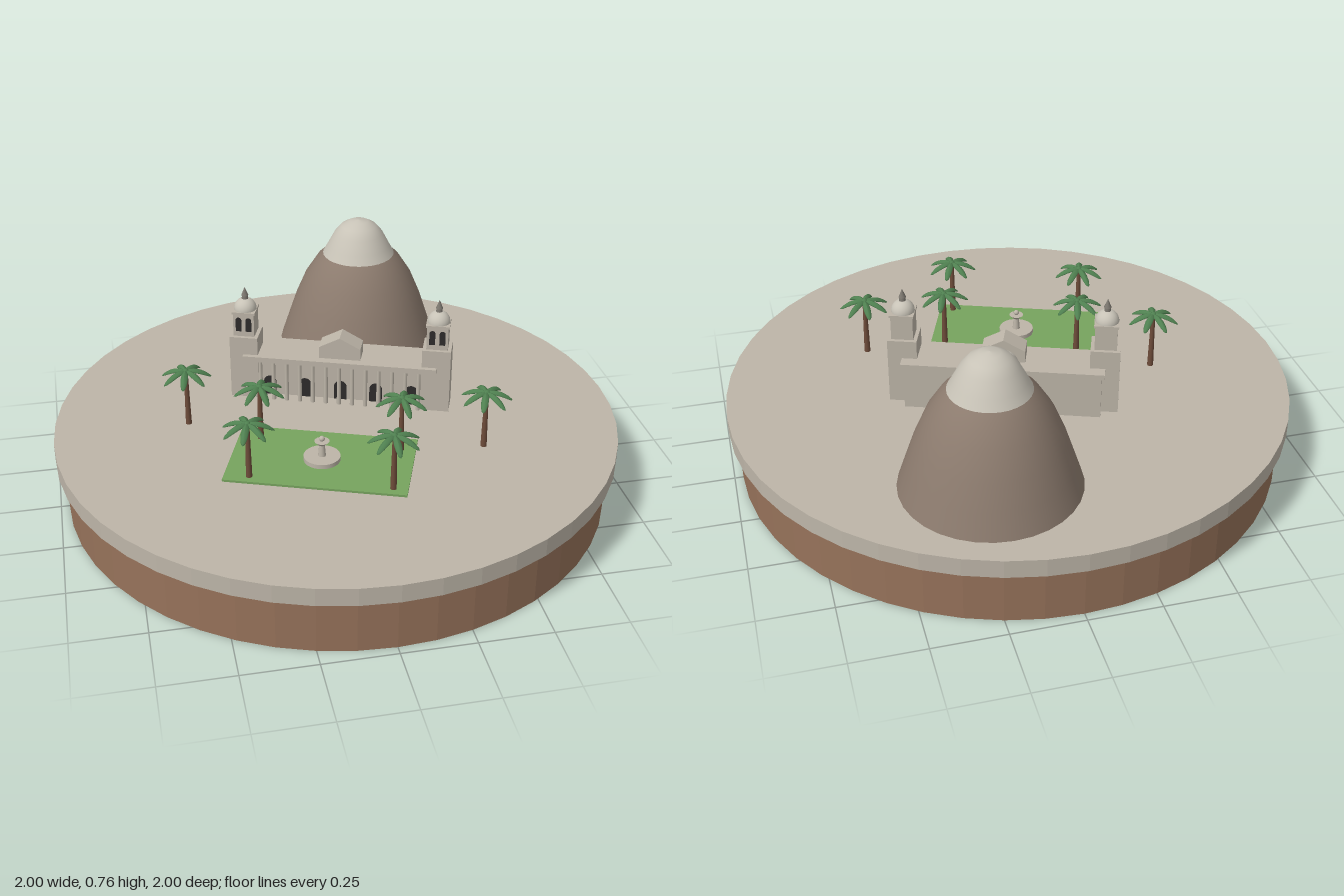
import * as THREE from 'three';

const mat = (name, color) => {
  const m = new THREE.MeshStandardMaterial({ color });
  m.name = name;
  return m;
};

export function createModel() {
  const stone = mat('paleStone', 0xbdb5a8);
  const earth = mat('earthBrown', 0x96725a);
  const rock = mat('mountainRock', 0x8c7b6e);
  const snow = mat('summitPale', 0xc8c3b7);
  const grass = mat('lawnGreen', 0x76a35e);
  const frondGreen = mat('frondGreen', 0x4f8050);
  const bark = mat('barkBrown', 0x6e4c3a);
  const dark = mat('openingDark', 0x2e2b2b);
  const spireGrey = mat('spireGrey', 0x7d7870);

  const GROUND = 0.265;
  const model = new THREE.Group();
  model.name = 'missionDiorama';

  const add = (parent, name, geo, material, x = 0, y = 0, z = 0) => {
    const mesh = new THREE.Mesh(geo, material);
    mesh.name = name;
    mesh.position.set(x, y, z);
    parent.add(mesh);
    return mesh;
  };
  const group = (parent, name, x = 0, y = 0, z = 0) => {
    const g = new THREE.Group();
    g.name = name;
    g.position.set(x, y, z);
    parent.add(g);
    return g;
  };
  // A box standing on height y
  const block = (parent, name, w, h, d, material, x, y, z) =>
    add(parent, name, new THREE.BoxGeometry(w, h, d), material, x, y + h / 2, z);
  // A cylinder with flat facets
  const facetedDisc = (r, h, sides) => {
    const g = new THREE.CylinderGeometry(r, r, h, sides).toNonIndexed();
    g.computeVertexNormals();
    return g;
  };
  const lathe = (points, sides) =>
    new THREE.LatheGeometry(points.map(([r, y]) => new THREE.Vector2(r, y)), sides);
  const dome = (r) => new THREE.SphereGeometry(r, 20, 10, 0, Math.PI * 2, 0, Math.PI / 2);
  // A thin round-topped plate for doors and windows
  const archPlate = (w, h) => {
    const s = new THREE.Shape();
    s.moveTo(-w / 2, 0);
    s.lineTo(w / 2, 0);
    s.lineTo(w / 2, h - w / 2);
    s.absarc(0, h - w / 2, w / 2, 0, Math.PI, false);
    s.closePath();
    return new THREE.ExtrudeGeometry(s, { depth: 0.004, bevelEnabled: false, curveSegments: 8 });
  };

  // Round base
  add(model, 'earthBase', facetedDisc(0.97, 0.2, 48), earth, 0, 0.1, 0);
  add(model, 'groundSlab', facetedDisc(1, GROUND - 0.2, 48), stone, 0, (GROUND + 0.2) / 2, 0);

  // Mountain with a pale summit
  const mountain = group(model, 'mountain', 0.205, 0, -0.58);
  add(mountain, 'mountainSlope', lathe([
    [0.303, GROUND], [0.275, 0.35], [0.245, 0.44], [0.205, 0.535], [0.16, 0.605], [0.128, 0.635],
  ], 32), rock);
  add(mountain, 'mountainSummit', lathe([
    [0.139, 0.622], [0.118, 0.66], [0.092, 0.71], [0.066, 0.74], [0.035, 0.757], [0, 0.762],
  ], 32), snow);

  // Everything in the mission is laid out square, then turned
  const mission = group(model, 'mission', 0.048, GROUND, -0.135);
  mission.rotation.y = -THREE.MathUtils.degToRad(20);

  block(mission, 'hall', 0.68, 0.155, 0.105, stone, 0, 0, -0.022);
  block(mission, 'hallRoof', 0.7, 0.02, 0.16, stone, 0, 0.155, 0);

  // Arcade of columns and dark doorways
  for (let i = 0; i < 13; i++) {
    const x = -0.288 + i * 0.048;
    add(mission, 'arcadeColumn', new THREE.CylinderGeometry(0.007, 0.008, 0.155, 10), stone, x, 0.0775, 0.066);
  }
  for (let i = -2; i <= 2; i++) {
    add(mission, 'doorway', archPlate(0.046, 0.075), dark, i * 0.13, 0, 0.029);
  }

  // Gabled centrepiece and the dome behind it
  const gable = new THREE.Shape();
  [[-0.075, 0], [0.075, 0], [0.075, 0.045], [0, 0.085], [-0.075, 0.045]]
    .forEach(([x, y], i) => (i ? gable.lineTo(x, y) : gable.moveTo(x, y)));
  add(mission, 'gable', new THREE.ExtrudeGeometry(gable, { depth: 0.075, bevelEnabled: false }),
    stone, 0, 0.174, -0.025);
  add(mission, 'roofDome', dome(0.054), snow, 0, 0.172, -0.042);

  // Twin bell towers
  for (const side of [-1, 1]) {
    const tower = group(mission, side < 0 ? 'rightTower' : 'leftTower', side * 0.348, 0, 0.013);
    block(tower, 'towerShaft', 0.102, 0.242, 0.102, stone, 0, 0, 0);
    block(tower, 'belfry', 0.076, 0.088, 0.076, stone, 0, 0.242, 0);
    block(tower, 'belfryCornice', 0.084, 0.009, 0.084, stone, 0, 0.328, 0);
    for (const dx of [-0.018, 0.018]) {
      add(tower, 'bellOpening', archPlate(0.021, 0.054), dark, dx, 0.262, 0.036);
    }
    add(tower, 'towerDome', dome(0.041), snow, 0, 0.337, 0);
    add(tower, 'spireNeck', new THREE.CylinderGeometry(0.01, 0.012, 0.016, 10), spireGrey, 0, 0.382, 0);
    add(tower, 'spire', new THREE.ConeGeometry(0.013, 0.032, 10), spireGrey, 0, 0.405, 0);
  }

  // Lawn and fountain
  block(mission, 'lawn', 0.62, 0.008, 0.346, grass, 0, 0, 0.453);
  const fountain = group(mission, 'fountain', 0, 0.008, 0.453);
  add(fountain, 'basin', new THREE.CylinderGeometry(0.063, 0.063, 0.016, 24), stone, 0, 0.008, 0);
  add(fountain, 'pedestal', new THREE.CylinderGeometry(0.009, 0.014, 0.055, 12), stone, 0, 0.04, 0);
  add(fountain, 'upperBowl', new THREE.CylinderGeometry(0.026, 0.012, 0.014, 16), stone, 0, 0.066, 0);
  add(fountain, 'finial', new THREE.SphereGeometry(0.01, 12, 8), stone, 0, 0.082, 0);

  // One drooping frond: a flattened ball bent down towards its tip
  const frond = new THREE.SphereGeometry(1, 12, 8);
  frond.scale(0.045, 0.006, 0.013);
  frond.translate(0.045, 0, 0);
  const p = frond.attributes.position;
  for (let i = 0; i < p.count; i++) {
    const x = p.getX(i), z = p.getZ(i);
    p.setY(i, p.getY(i) + 0.18 * x - 5.8 * x * x - Math.abs(z) * 0.35);
  }
  frond.computeVertexNormals();
  const trunk = new THREE.CylinderGeometry(0.007, 0.011, 0.21, 10);

  // Palms
  [[-0.525, -0.045], [-0.29, 0.115], [-0.365, 0.345], [0.17, 0.285], [0.46, 0.305], [0.09, 0.51]]
    .forEach(([x, z], n) => {
      const palm = group(model, 'palm', x, GROUND, z);
      palm.rotation.y = n * 1.3;
      add(palm, 'palmTrunk', trunk, bark, 0, 0.105, 0);
      add(palm, 'palmCrown', new THREE.SphereGeometry(0.012, 10, 8), frondGreen, 0, 0.21, 0);
      for (let i = 0; i < 7; i++) {
        add(palm, 'palmFrond', frond, frondGreen, 0, 0.213, 0).rotation.y = (i / 7) * Math.PI * 2;
      }
    });

  return model;
}
